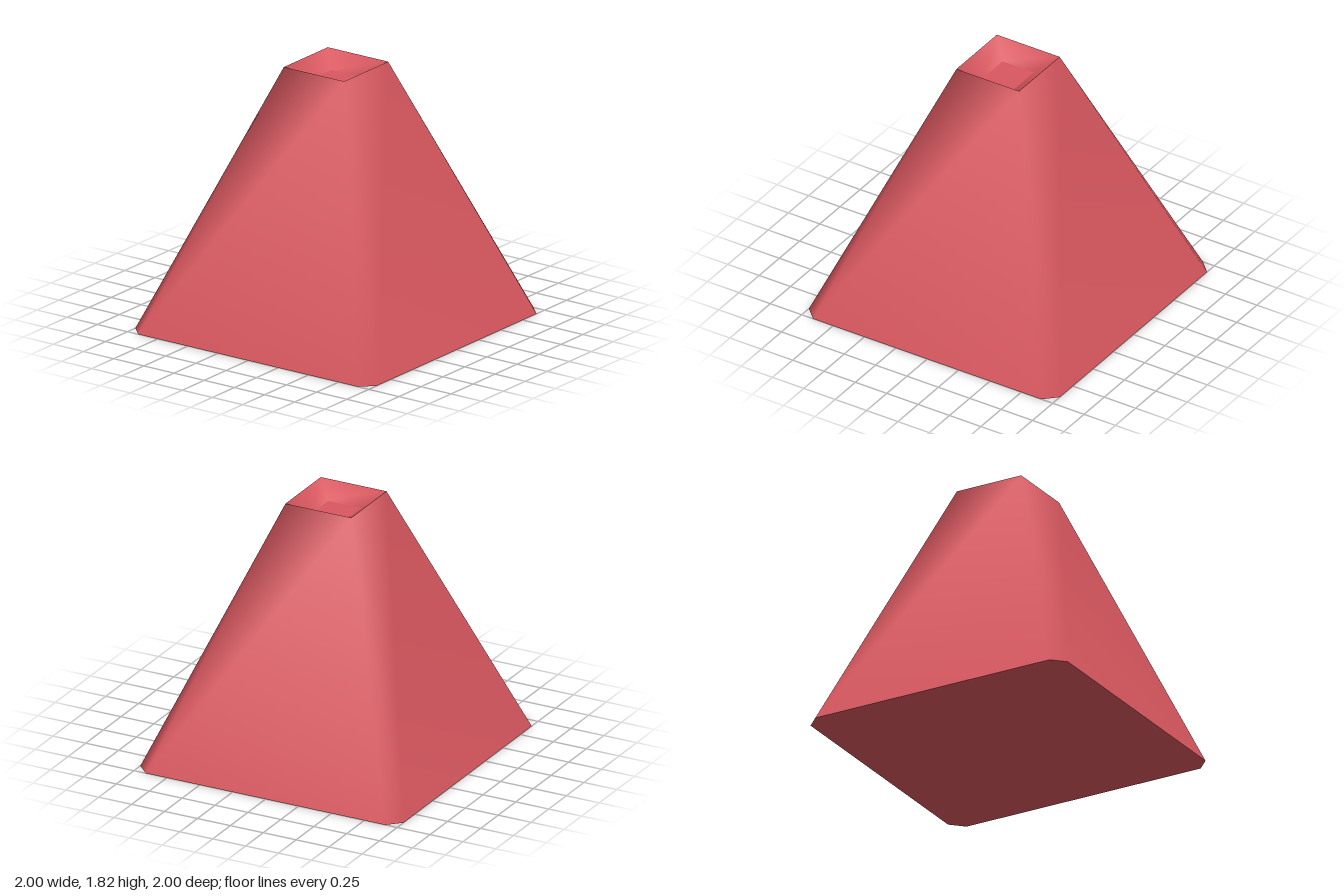
import * as THREE from 'three';

const HEIGHT = 1.82, TOP = 0.25, CHAMFER = 0.09, FLOOR = 0.125, DEPTH = 0.1;

// Corners in counter-clockwise order seen from above
const CORNERS = [[-1, 1], [1, 1], [1, -1], [-1, -1]];
const squareRing = (half, y) => CORNERS.map(([x, z]) => [x * half, y, z * half]);

// Square with cut corners, starting at the front edge
function chamferedRing(half, cut, y) {
  const c = half - cut;
  return [[-c, half], [c, half], [half, c], [half, -c], [c, -half], [-c, -half], [-half, -c], [-half, c]]
    .map(([x, z]) => [x, y, z]);
}

function smoothGeometry(points, index) {
  const g = new THREE.BufferGeometry();
  g.setAttribute('position', new THREE.Float32BufferAttribute(points.flat(), 3));
  g.setIndex(index);
  g.computeVertexNormals();
  return g;
}

// Wall between two rings; several lower points may share one upper point
function loft(lower, upper, upperOf) {
  const n = lower.length, index = [];
  for (let i = 0; i < n; i++) {
    const j = (i + 1) % n, a = n + upperOf(i), b = n + upperOf(j);
    index.push(i, j, b);
    if (a !== b) index.push(i, b, a);
  }
  return smoothGeometry([...lower, ...upper], index);
}

// Flat polygon cap, facing up or down
function cap(ring, up) {
  const index = [];
  for (let i = 1; i < ring.length - 1; i++) index.push(0, ...(up ? [i, i + 1] : [i + 1, i]));
  return smoothGeometry(ring, index);
}

export function createModel() {
  const group = new THREE.Group();
  group.name = 'taperedBlock';
  const red = new THREE.MeshStandardMaterial({ color: 0xd9575f });
  red.name = 'coral red';
  const add = (name, geometry) => {
    const mesh = new THREE.Mesh(geometry, red);
    mesh.name = name;
    group.add(mesh);
  };

  const base = chamferedRing(1, CHAMFER, 0);
  const rim = squareRing(TOP, HEIGHT);
  const floor = squareRing(FLOOR, HEIGHT - DEPTH);

  // Sloping sides: each cut corner narrows to a point at the rim
  add('slopingSides', loft(base, rim, (i) => ((i + 1) >> 1) % 4));
  add('underside', cap(base, false));

  // Shallow funnel sunk into the top
  add('recessWalls', loft(rim, floor, (i) => i));
  add('recessFloor', cap(floor, true));
  return group;
}
